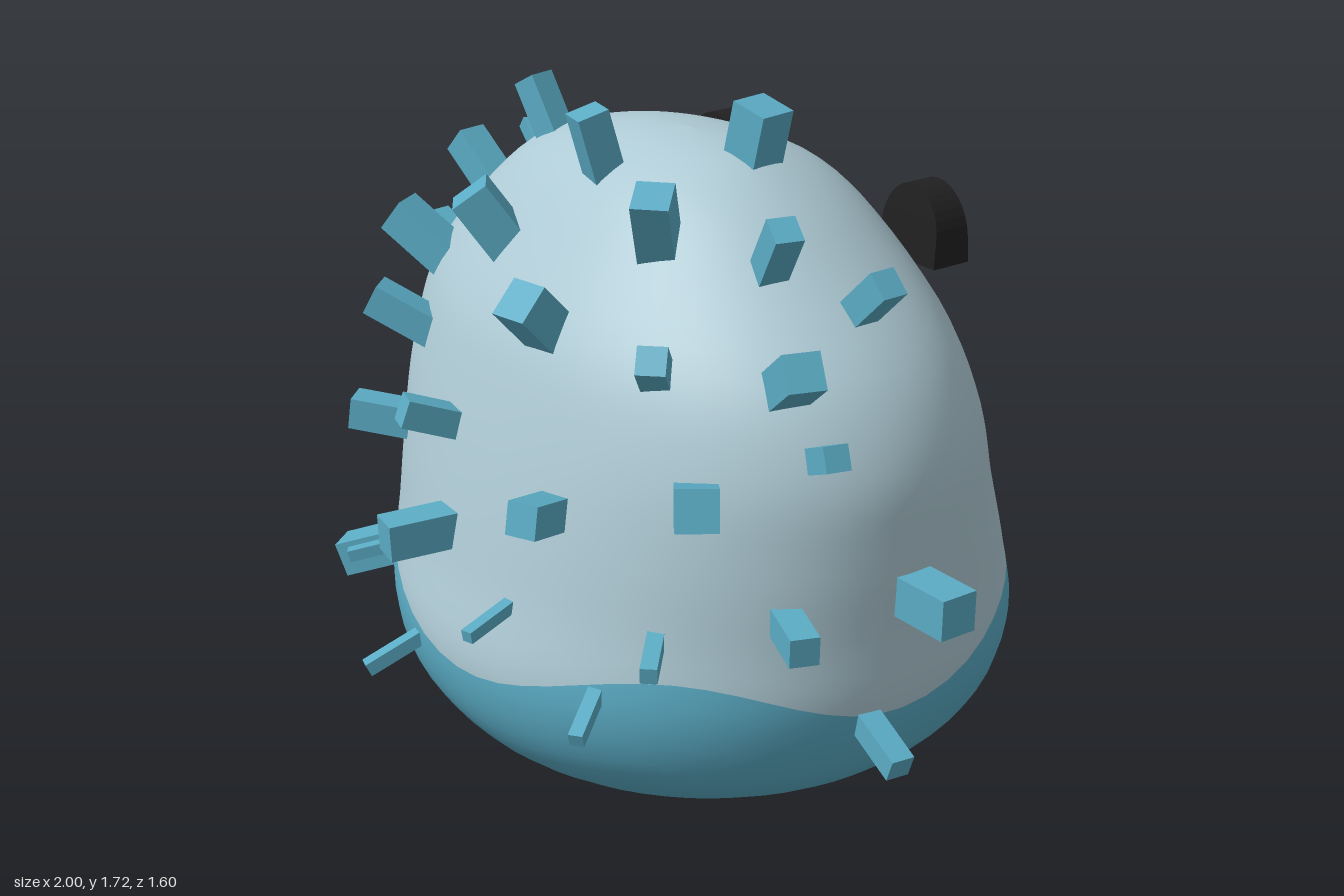
import * as THREE from 'three';

// Body cross-sections: height, reach to -x, +x, +z, -z
const ROWS = [
  [0, 0, 0, 0, 0], [0.02, 0.24, 0.22, 0.2, 0.28], [0.09, 0.58, 0.54, 0.5, 0.54],
  [0.22, 0.81, 0.74, 0.65, 0.73], [0.4, 0.865, 0.82, 0.7, 0.79], [0.6, 0.88, 0.83, 0.66, 0.74],
  [0.8, 0.895, 0.84, 0.62, 0.66], [1, 0.89, 0.83, 0.57, 0.6], [1.2, 0.83, 0.73, 0.5, 0.53],
  [1.4, 0.66, 0.51, 0.36, 0.42], [1.52, 0.48, 0.35, 0.25, 0.3], [1.59, 0.22, 0.2, 0.12, 0.13],
  [1.61, 0, 0, 0, 0],
];
const LAST = ROWS.length - 1;

// Smooth interpolation between the cross-sections
function section(s) {
  const i = Math.min(Math.floor(s), LAST - 1), t = s - i;
  const [a, b, c, d] = [i - 1, i, i + 1, i + 2].map((k) => ROWS[Math.min(Math.max(k, 0), LAST)]);
  return b.map((p, k) => p + 0.5 * t * (c[k] - a[k]
    + t * (2 * a[k] - 5 * p + 4 * c[k] - d[k] + t * (3 * (p - c[k]) + d[k] - a[k]))));
}

// Section position for a given height
function rowAt(y) {
  let lo = 0, hi = LAST;
  for (let i = 0; i < 30; i++) {
    const mid = (lo + hi) / 2;
    if (section(mid)[0] < y) lo = mid; else hi = mid;
  }
  return lo;
}

// Body skin: one smooth surface, with a wavy border between the two colours
function bodyGeometry() {
  const seg = 64, low = 16, high = 32, total = low + high;
  const pos = [], index = [];
  for (let j = 0; j <= total; j++) {
    for (let i = 0; i < seg; i++) {
      const a = (i / seg) * Math.PI * 2;
      const border = rowAt(0.46 - 0.06 * Math.cos(4 * a) - 0.015 * Math.sin(a));
      const s = j <= low ? (border * j) / low : border + ((LAST - border) * (j - low)) / high;
      const [y, xl, xr, zf, zb] = section(s);
      const c = Math.cos(a), n = Math.sin(a);
      pos.push(c * (c < 0 ? xl : xr), y, n * (n < 0 ? zb : zf));
    }
  }
  for (let j = 0; j < total; j++) {
    for (let i = 0; i < seg; i++) {
      const a = j * seg + i, b = j * seg + ((i + 1) % seg);
      index.push(a, a + seg, b, b, a + seg, b + seg);
    }
  }
  const g = new THREE.BufferGeometry();
  g.setAttribute('position', new THREE.Float32BufferAttribute(pos, 3));
  g.setIndex(index);
  g.addGroup(0, low * seg * 6, 0);
  g.addGroup(low * seg * 6, high * seg * 6, 1);
  g.computeVertexNormals();
  return g;
}

// Thin face marking laid on the -z side of the body
function markingGeometry(cx, cy, w, h, tilt, lobes) {
  const g = new THREE.RingGeometry(0.001, 1, 40, 6);
  const p = g.attributes.position;
  for (let i = 0; i < p.count; i++) {
    const a = Math.atan2(p.getY(i), p.getX(i));
    const r = 1 + lobes * Math.sin(3 * a);
    const u = p.getX(i) * w * r, v = p.getY(i) * h * r;
    const x = cx - (u * Math.cos(tilt) - v * Math.sin(tilt));
    const y = cy + u * Math.sin(tilt) + v * Math.cos(tilt);
    const [, xl, xr, , zb] = section(rowAt(y));
    const k = x / (x < 0 ? xl : xr);
    p.setXYZ(i, x, y, -zb * Math.sqrt(1 - k * k) - 0.008);
  }
  g.computeVertexNormals();
  return g;
}

// Upright half-round ear, thinner towards the top
function earGeometry() {
  const shape = new THREE.Shape();
  shape.moveTo(-0.1, 0);
  shape.lineTo(0.1, 0);
  shape.lineTo(0.1, 0.07);
  shape.absellipse(0, 0.07, 0.1, 0.12, 0, Math.PI, false);
  shape.closePath();
  const g = new THREE.ExtrudeGeometry(shape, { depth: 0.11, bevelEnabled: false, curveSegments: 8 });
  g.translate(0, 0, -0.055);
  const p = g.attributes.position;
  for (let i = 0; i < p.count; i++) p.setZ(i, p.getZ(i) * (1 - 1.6 * Math.max(0, p.getY(i) - 0.02)));
  g.computeVertexNormals();
  return g;
}

// Spikes: x, y, z of the visible middle, then thickness
const SPIKES_LEFT = [
  [0.22, 1.63, -0.03, 0.1], [0.27, 1.5, 0.3, 0.09], [0.51, 1.46, 0.14, 0.07], [0.43, 1.21, 0.42, 0.07],
  [0.7, 1.23, 0.24, 0.09], [0.65, 1.35, -0.02, 0.07], [0.77, 1.06, 0.21, 0.06], [0.61, 0.95, 0.44, 0.1],
  [0.09, 1.26, 0.51, 0.1], [0.27, 0.86, 0.63, 0.08], [0.17, 0.58, 0.71, 0.03], [0.58, 0.6, 0.54, 0.04],
  [0.8, 0.67, 0.31, 0.07], [0.91, 0.7, -0.01, 0.1], [0.87, 0.36, 0.1, 0.06], [0.46, 0.43, 0.64, 0.035],
];
const SPIKES_RIGHT = [
  [-0.47, 1.57, 0.1, 0.07], [-0.05, 1.6, 0.24, 0.08], [-0.27, 1.39, 0.4, 0.1], [-0.62, 1.26, 0.38, 0.09],
  [-0.74, 1.37, 0.12, 0.08], [-0.8, 1.36, -0.1, 0.04], [-0.53, 1.1, 0.5, 0.08], [-0.91, 1.11, 0.12, 0.09],
  [-0.79, 0.96, 0.3, 0.025], [-0.57, 0.82, 0.54, 0.08], [-0.92, 0.82, 0.05, 0.08], [-0.2, 0.95, 0.62, 0.07],
  [-0.15, 0.69, 0.71, 0.09], [-0.24, 0.34, 0.73, 0.035], [-0.43, 0.53, 0.65, 0.03], [-0.67, 0.41, 0.53, 0.09],
  [-0.86, 0.51, 0.21, 0.03], [-0.9, 0.42, 0.02, 0.04],
];

export function createModel() {
  const model = new THREE.Group();
  const material = (name, color, side = THREE.FrontSide) => {
    const m = new THREE.MeshStandardMaterial({ color, side });
    m.name = name;
    return m;
  };
  const pale = material('paleBlue', 0xaecad4);
  const teal = material('teal', 0x5bacc5);
  const black = material('black', 0x202020, THREE.DoubleSide);

  const add = (name, geometry, mat, parent = model) => {
    const mesh = new THREE.Mesh(geometry, mat);
    mesh.name = name;
    parent.add(mesh);
    return mesh;
  };

  add('body', bodyGeometry(), [teal, pale]);

  // Face on the -z side
  add('leftEye', markingGeometry(0.055, 1.08, 0.085, 0.125, 0, 0), black);
  add('rightEye', markingGeometry(-0.305, 1.07, 0.1, 0.135, -0.12, 0), black);
  add('mouth', markingGeometry(-0.1, 0.69, 0.165, 0.14, 0, 0.09), black);

  // Ears
  for (const [name, x] of [['leftEar', 0.325], ['rightEar', -0.46]]) {
    add(name, earGeometry(), black).position.set(x, 1.28, -0.465);
  }

  // Spikes point away from the middle of the body, rooted inside it
  const spikes = new THREE.Group();
  spikes.name = 'spikes';
  model.add(spikes);
  for (const [x, y, z, w] of [...SPIKES_LEFT, ...SPIKES_RIGHT]) {
    const box = new THREE.BoxGeometry(w, w, 0.21).translate(0, 0, -0.025);
    const spike = add('spike', box, teal, spikes);
    spike.position.set(x, y, z);
    spike.lookAt(2 * x, 2 * y - 0.72, 2 * z);
  }
  return model;
}
